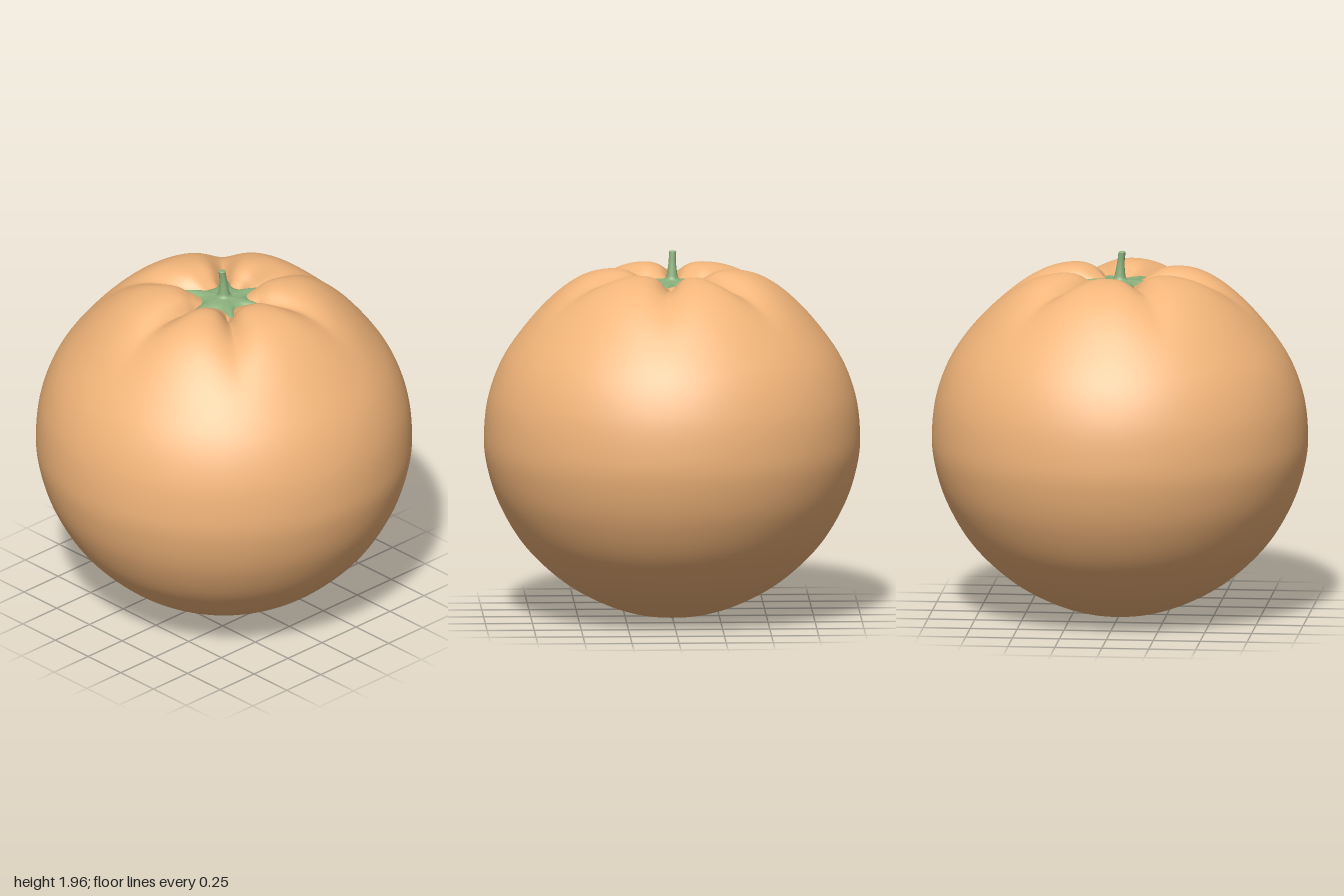
import * as THREE from 'three';
import { mergeVertices } from 'three/addons/utils/BufferGeometryUtils.js';

const SEGMENTS = 216;

// One entry per calyx arm: arm angle, arm length, crease angle, crease strength (degrees from +x towards +z)
const ARMS = [
  { tip: 12, length: 0.225, crease: 5, depth: 1 },
  { tip: 66, length: 0.22, crease: 66, depth: 0.75 },
  { tip: 123, length: 0.225, crease: 127, depth: 1 },
  { tip: 180, length: 0.235, crease: 183, depth: 0.9 },
  { tip: -113, length: 0.23, crease: -114, depth: 0.75 },
  { tip: -45, length: 0.23, crease: -47, depth: 1.1 },
];

// Shortest distance in radians between an angle and a direction in degrees
function angleGap(a, degrees) {
  const d = a - THREE.MathUtils.degToRad(degrees);
  return Math.abs(Math.atan2(Math.sin(d), Math.cos(d)));
}

// Turned shape through a smooth profile, bent by a rule, with seamless smooth normals
function turned(profile, steps, rule, segments = SEGMENTS) {
  const curve = new THREE.SplineCurve(profile.map(([r, y]) => new THREE.Vector2(r, y)));
  const points = curve.getPoints(steps);
  points.forEach((p) => { p.x = Math.max(p.x, 0); });
  let geometry = new THREE.LatheGeometry(points, segments);
  const pos = geometry.attributes.position;
  const v = new THREE.Vector3();
  for (let i = 0; i < pos.count; i++) {
    v.fromBufferAttribute(pos, i);
    rule(v, Math.hypot(v.x, v.z), Math.atan2(v.z, v.x));
    pos.setXYZ(i, v.x, v.y, v.z);
  }
  geometry.deleteAttribute('uv');
  geometry.deleteAttribute('normal');
  geometry = mergeVertices(geometry, 1e-5);
  geometry.computeVertexNormals();
  return geometry;
}

function part(name, geometry, material) {
  const mesh = new THREE.Mesh(geometry, material);
  mesh.name = name;
  return mesh;
}

export function createModel() {
  const group = new THREE.Group();
  group.name = 'fruit';
  const skin = new THREE.MeshStandardMaterial({ color: 0xf2b57a });
  const green = new THREE.MeshStandardMaterial({ color: 0x8cb17d, side: THREE.DoubleSide });
  const { smoothstep } = THREE.MathUtils;

  // Fruit body: round, with a dimpled top pinched by radial creases
  const bodyProfile = [
    [0, 0.005], [0.2, 0.025], [0.4, 0.095], [0.6, 0.215], [0.79, 0.4], [0.92, 0.62],
    [0.985, 0.83], [0.997, 1.0], [0.97, 1.2], [0.89, 1.4], [0.745, 1.6], [0.6, 1.746],
    [0.47, 1.83], [0.35, 1.862], [0.25, 1.858], [0.17, 1.82], [0.1, 1.782], [0, 1.77],
  ];
  const body = turned(bodyProfile, 150, (v, r, a) => {
    if (v.y < 1.1) return;
    const fade = smoothstep(r, 0.06, 0.2) * (1 - smoothstep(r, 0.25, 0.85));
    for (const arm of ARMS) {
      const d = angleGap(a, arm.crease) / 0.2;
      v.y -= 0.085 * arm.depth * fade * Math.exp(-Math.pow(d, 1.5));
    }
  });
  group.add(part('body', body, skin));

  // Calyx: star-shaped leaf cap with six pointed arms lying in the creases
  const calyx = turned([[1, 1.79], [0.75, 1.802], [0.4, 1.806], [0, 1.81]], 24, (v, r, a) => {
    let reach = 0.122;
    for (const arm of ARMS) {
      reach += (arm.length - 0.122) * Math.exp(-Math.pow(angleGap(a, arm.tip) / 0.17, 1.5));
    }
    v.x *= reach;
    v.z *= reach;
  });
  group.add(part('calyx', calyx, green));

  // Stem: short stalk flaring into the calyx, leaning slightly
  const stemProfile = [
    [0.055, 1.803], [0.034, 1.815], [0.026, 1.85], [0.02, 1.9], [0.019, 1.945],
    [0.019, 1.957], [0.012, 1.961], [0, 1.961],
  ];
  const stem = turned(stemProfile, 32, (v) => {
    const lean = Math.pow((v.y - 1.8) / 0.16, 2);
    v.x -= 0.012 * lean;
    v.z -= 0.004 * lean;
  }, 24);
  group.add(part('stem', stem, green));

  return group;
}
